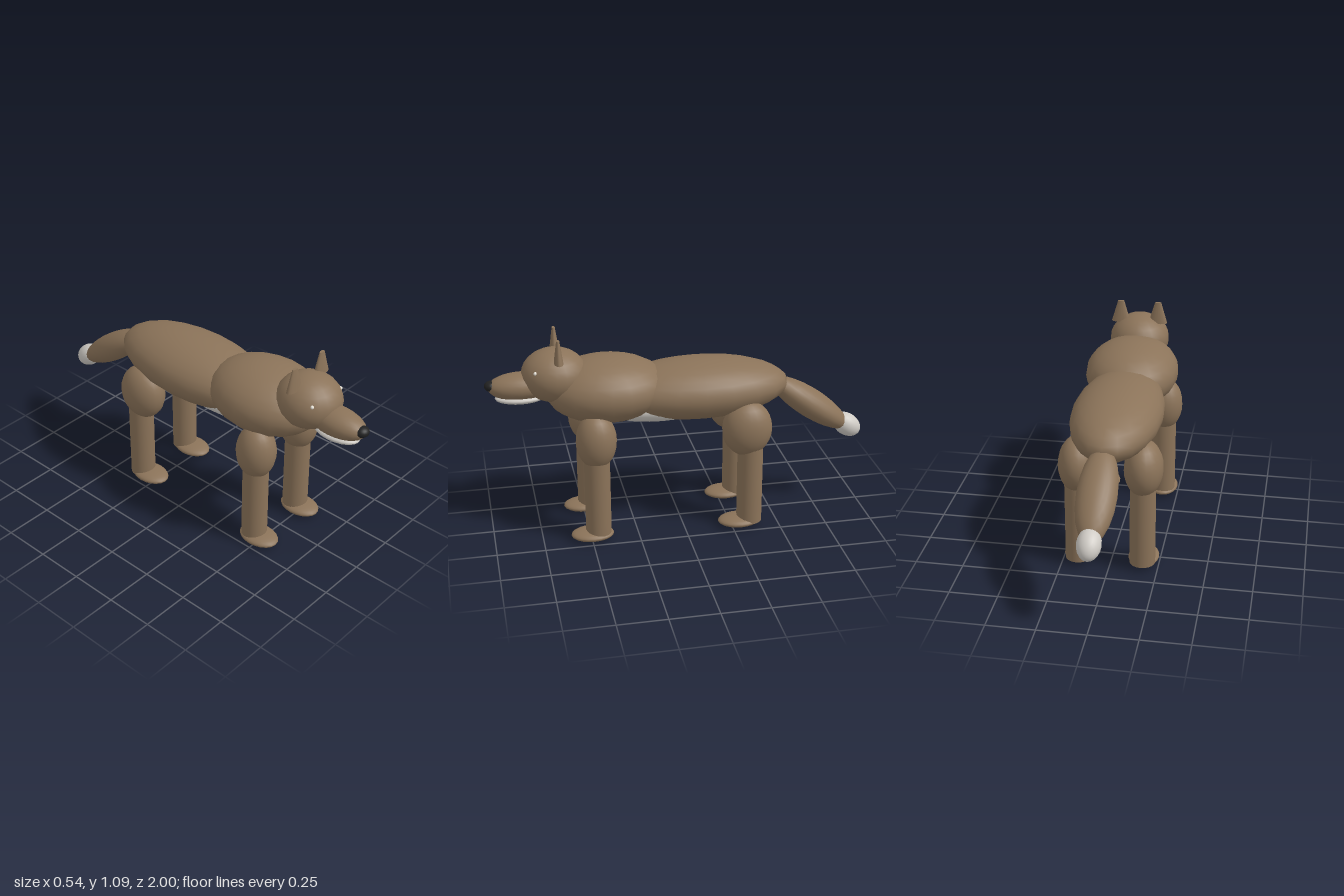
import * as THREE from 'three';

export function createModel() {
  const model = new THREE.Group();
  model.name = 'animal';

  const material = (name, color) => {
    const m = new THREE.MeshStandardMaterial({ color });
    m.name = name;
    return m;
  };
  const fur = material('brown fur', 0x8b7359);
  const pale = material('pale fur', 0xcfcbc5);
  const black = material('nose black', 0x222222);
  const eyeWhite = material('eye white', 0xe6e2d8);

  const add = (name, geometry, mat, position) => {
    const mesh = new THREE.Mesh(geometry, mat);
    mesh.name = name;
    mesh.position.set(...position);
    model.add(mesh);
    return mesh;
  };
  // Ellipsoid with the given centre, radii and pitch
  const blob = (name, mat, centre, radii, pitch = 0) => {
    const g = new THREE.SphereGeometry(1, 20, 14).scale(...radii);
    const mesh = add(name, g, mat, centre);
    mesh.rotation.x = pitch;
    return mesh;
  };

  // Trunk
  blob('body', fur, [0, 0.745, -0.1], [0.235, 0.155, 0.48]);
  blob('chest', fur, [0, 0.78, 0.38], [0.25, 0.17, 0.32]);
  blob('belly', pale, [0, 0.68, 0.11], [0.165, 0.091, 0.34]);

  // Head
  blob('head', fur, [0, 0.872, 0.645], [0.163, 0.138, 0.17]);
  blob('muzzle', fur, [0, 0.822, 0.815], [0.088, 0.071, 0.17]);
  blob('jaw', pale, [0, 0.762, 0.82], [0.076, 0.028, 0.13]);
  blob('nose', black, [0, 0.832, 0.965], [0.037, 0.027, 0.035]);

  // Tail sloping down behind the body
  blob('tail', fur, [0, 0.6, -0.71], [0.1, 0.077, 0.26], -0.62);
  blob('tailTip', pale, [0, 0.455, -0.923], [0.06, 0.06, 0.085], -0.62);

  for (const [side, s] of [['left', 1], ['right', -1]]) {
    // Ears are flattened, truncated cones
    const ear = new THREE.CylinderGeometry(0.017, 0.052, 0.118, 16).scale(1, 1, 0.46);
    add(side + 'Ear', ear, fur, [s * 0.103, 1.028, 0.63]);
    blob(side + 'Eye', eyeWhite, [s * 0.11, 0.925, 0.748], [0.009, 0.009, 0.009]);

    // Legs: upper ellipsoid, straight shank and flat paw
    for (const [end, upperZ, upperLength, shankZ, pawZ] of [
      ['Front', 0.462, 0.105, 0.462, 0.495],
      ['Hind', -0.325, 0.132, -0.345, -0.29],
    ]) {
      const x = s * 0.168;
      blob(side + end + 'UpperLeg', fur, [x, 0.56, upperZ], [0.1, 0.15, upperLength]);
      add(side + end + 'Shank', new THREE.CylinderGeometry(0.067, 0.067, 0.5, 20), fur, [x, 0.275, shankZ]);
      blob(side + end + 'Paw', fur, [x, 0.028, pawZ], [0.08, 0.028, 0.112]);
    }
  }
  return model;
}
